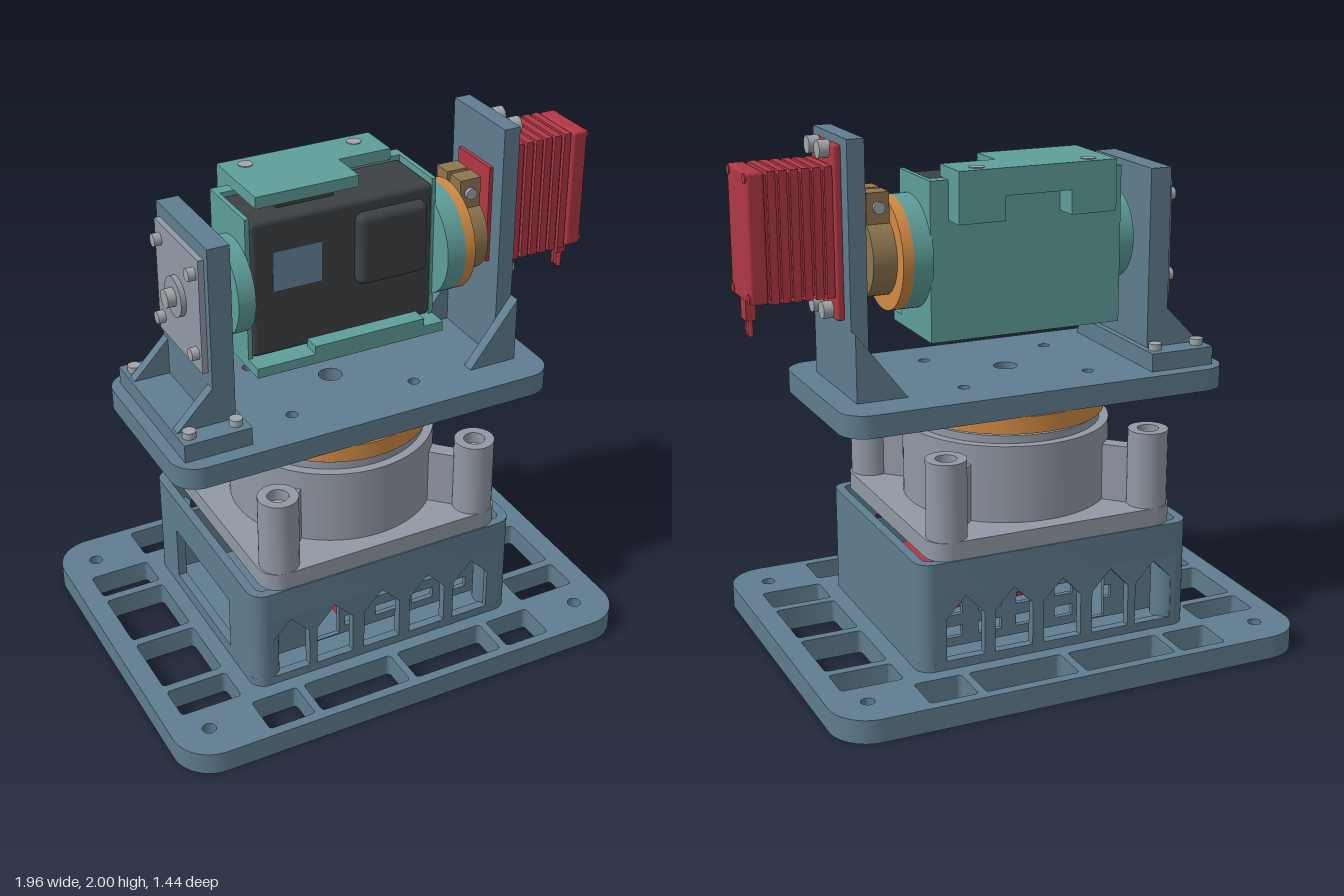
import * as THREE from 'three';
import { toCreasedNormals } from 'three/addons/utils/BufferGeometryUtils.js';
import { RoundedBoxGeometry } from 'three/addons/geometries/RoundedBoxGeometry.js';

const mat = (name, color) => Object.assign(new THREE.MeshStandardMaterial({ color }), { name });

export function createModel() {
  const root = new THREE.Group();
  const blue = mat('slate blue', 0x5f7d90), grey = mat('light grey', 0x9299a5), teal = mat('teal', 0x5f9f9a),
    red = mat('red', 0xb03744), orange = mat('orange', 0xd08a43), brown = mat('bronze', 0x8f7650),
    black = mat('charcoal', 0x3d4144), screen = mat('display blue', 0x64859d), steel = mat('steel', 0xa0a6ac);

  // ---- helpers ----
  let group = root;
  const part = (name) => { group = new THREE.Group(); group.name = name; root.add(group); };
  const add = (name, geo, m) => {
    const mesh = new THREE.Mesh(geo, m);
    mesh.name = name;
    group.add(mesh);
    return mesh;
  };
  const box = (name, m, x0, x1, y0, y1, z0, z1, r = 0) => {
    const s = [x1 - x0, y1 - y0, z1 - z0];
    const g = r ? new RoundedBoxGeometry(...s, 3, r) : new THREE.BoxGeometry(...s);
    return add(name, g.translate((x0 + x1) / 2, (y0 + y1) / 2, (z0 + z1) / 2), m);
  };
  // cylinder along x or y, from a to b on its axis
  const rodX = (name, m, a, b, r, y, z, n = 48) =>
    add(name, new THREE.CylinderGeometry(r, r, b - a, n).rotateZ(Math.PI / 2).translate((a + b) / 2, y, z), m);
  const rodY = (name, m, a, b, r, x, z, n = 48) =>
    add(name, new THREE.CylinderGeometry(r, r, b - a, n).translate(x, (a + b) / 2, z), m);
  const rect = (x0, x1, y0, y1, r = 0, P = THREE.Path) => {
    const p = new P();
    if (!r) return p.setFromPoints([[x0, y0], [x1, y0], [x1, y1], [x0, y1]].map((q) => new THREE.Vector2(...q)));
    p.absarc(x1 - r, y0 + r, r, -Math.PI / 2, 0).absarc(x1 - r, y1 - r, r, 0, Math.PI / 2);
    p.absarc(x0 + r, y1 - r, r, Math.PI / 2, Math.PI).absarc(x0 + r, y0 + r, r, Math.PI, Math.PI * 1.5);
    p.closePath();
    return p;
  };
  const poly = (pts, P = THREE.Shape) => new P().setFromPoints(pts.map((q) => new THREE.Vector2(...q)));
  const circle = (x, y, r, P = THREE.Path) => new P().absarc(x, y, r, 0, Math.PI * 2);
  const extrude = (shape, holes, depth) => {
    shape.holes.push(...holes);
    return toCreasedNormals(new THREE.ExtrudeGeometry(shape, { depth, bevelEnabled: false, curveSegments: 12 }), 0.6);
  };
  // slabs standing on y (shape drawn in x, -z), facing z (x, y) or facing x (-z, y)
  const slabY = (name, m, shape, y0, y1, holes = []) =>
    add(name, extrude(shape, holes, y1 - y0).rotateX(-Math.PI / 2).translate(0, y0, 0), m);
  const slabZ = (name, m, shape, z0, z1, holes = []) => add(name, extrude(shape, holes, z1 - z0).translate(0, 0, z0), m);
  const slabX = (name, m, shape, x0, x1, holes = []) =>
    add(name, extrude(shape, holes, x1 - x0).rotateY(Math.PI / 2).translate(x0, 0, 0), m);
  const S = THREE.Shape, CX = -0.045, AY = 1.55;

  // ---- base plate with framed cut-outs ----
  part('base');
  const cuts = [];
  for (const s of [-1, 1]) {
    for (const [a, b] of [[-0.645, -0.46], [-0.43, -0.06], [-0.03, 0.34], [0.37, 0.555]])
      cuts.push(rect(a, b, s > 0 ? 0.52 : -0.68, s > 0 ? 0.68 : -0.52, 0.015));
    for (const [a, b] of [[-0.465, -0.32], [-0.285, -0.015], [0.02, 0.295], [0.33, 0.465]])
      cuts.push(rect(s > 0 ? 0.57 : -0.9, s > 0 ? 0.81 : -0.66, a, b, 0.015));
    for (const x of [-0.84, 0.75]) cuts.push(circle(x, s * 0.575, 0.026));
  }
  slabY('basePlate', blue, rect(-0.98, 0.895, -0.718, 0.718, 0.15, S), 0, 0.09, cuts);

  // ---- hollow housing with gabled vents ----
  part('housing');
  for (const [y0, y1] of [[0.085, 0.12], [0.38, 0.51]])
    slabY('housingRim', blue, rect(-0.6, 0.505, -0.465, 0.465, 0.06, S), y0, y1, [rect(-0.565, 0.47, -0.43, 0.43, 0.03)]);
  for (const x of [-0.54, 0.445]) for (const z of [-0.405, 0.405]) rodY('cornerPost', blue, 0.12, 0.38, 0.06, x, z, 32);
  const vents = () => [-0.45, -0.266, -0.066, 0.132, 0.325].map((x) => poly(
    [[x - 0.076, 0.125], [x + 0.076, 0.125], [x + 0.076, 0.29], [x, 0.37], [x - 0.076, 0.29]], THREE.Path));
  const louvers = () => {
    const h = [rect(-0.3, -0.19, 0.125, 0.295), rect(-0.33, -0.3, 0.2, 0.25)];
    for (const [a, b] of [[-0.165, -0.09], [-0.03, 0.07], [0.13, 0.225], [0.29, 0.375]])
      for (const y of [0.155, 0.245]) h.push(rect(a, b, y, y + 0.045));
    return h;
  };
  for (const s of [-1, 1]) {
    const z = s > 0 ? 0.43 : -0.465, zi = s > 0 ? 0.33 : -0.35;
    slabZ('ventWall', blue, rect(-0.54, 0.445, 0.12, 0.38, 0, S), z, z + 0.035, vents());
    slabZ('louverPanel', blue, rect(-0.56, 0.46, 0.12, 0.38, 0, S), zi, zi + 0.02, louvers());
  }
  box('closedSide', blue, 0.47, 0.505, 0.12, 0.38, -0.405, 0.405);
  slabX('portSide', blue, rect(-0.405, 0.405, 0.12, 0.38, 0, S), -0.6, -0.565, [rect(-0.24, 0.26, 0.14, 0.36)]);
  for (const y of [0.16, 0.25]) {
    box('lowerServo', red, -0.165, 0.3, y, y + 0.035, -0.12, 0.3);
    box('lowerServoFin', red, -0.155, 0.29, y + 0.01, y + 0.025, -0.14, 0.31);
  }
  box('lowerServoCore', red, -0.1, 0.25, 0.17, 0.28, -0.1, 0.1);

  // ---- bearing carrier ----
  part('bearing');
  slabY('bearingFlange', grey, rect(-0.54, 0.45, -0.46, 0.46, 0.08, S), 0.51, 0.58, [circle(CX, 0, 0.3)]);
  rodY('bearingDrum', grey, 0.51, 0.875, 0.395, CX, 0, 80);
  rodY('bearingRace', grey, 0.875, 0.905, 0.36, CX, 0, 80);
  rodY('bearingHub', grey, 0.9, 0.92, 0.14, CX, 0);
  rodY('turntable', orange, 0.915, 0.98, 0.375, CX, 0, 80);
  for (const sx of [-1, 1]) for (const sz of [-1, 1]) {
    const x = CX + sx * 0.41, z = sz * 0.385;
    slabY('mountingPost', grey, circle(x, -z, 0.076, S), 0.57, 0.875, [circle(x, -z, 0.04)]);
    rodY('postBolt', steel, 0.57, 0.83, 0.041, x, z, 24);
    const web = box('postWeb', grey, -0.07, 0.07, 0.57, 0.8, -0.03, 0.03);
    web.position.set(x - sx * 0.09, 0, z - sz * 0.09);
    web.rotation.y = sx * sz * -Math.PI / 4;
  }

  // ---- upper platform ----
  part('platform');
  const bolts = [circle(CX, 0, 0.045)];
  for (const x of [-0.3, 0.21]) for (const z of [-0.19, 0.19]) bolts.push(circle(x, z, 0.022));
  slabY('platformPlate', blue, rect(-0.815, 0.725, -0.365, 0.365, 0.1, S), 0.98, 1.065, bolts);

  // ---- idler bracket ----
  part('idlerBracket');
  box('bracketFoot', blue, -0.77, -0.51, 1.065, 1.135, -0.31, 0.305);
  box('bracketWall', blue, -0.62, -0.535, 1.135, 1.82, -0.22, 0.22);
  for (const z of [-0.22, 0.18])
    slabZ('bracketGusset', blue, poly([[-0.76, 1.135], [-0.62, 1.135], [-0.62, 1.28]]), z, z + 0.04);
  for (const x of [-0.73, -0.55]) for (const z of [-0.255, 0.255]) rodY('footScrew', steel, 1.135, 1.16, 0.025, x, z, 20);
  box('bearingCover', grey, -0.642, -0.62, 1.33, 1.77, -0.19, 0.19);
  rodX('coverBoss', grey, -0.662, -0.64, 0.075, AY, 0);
  rodX('axleNut', steel, -0.695, -0.66, 0.035, AY, 0, 24);
  for (const y of [1.395, 1.705]) for (const z of [-0.15, 0.15]) rodX('coverScrew', steel, -0.67, -0.64, 0.024, y, z, 20);

  // ---- drive bracket ----
  part('driveBracket');
  slabX('driveWall', blue, rect(-0.175, 0.175, 1.065, 2, 0, S), 0.57, 0.635);
  for (const z of [-0.22, 0.175])
    slabZ('driveGusset', blue, poly([[0.44, 1.065], [0.635, 1.065], [0.635, 1.32]]), z, z + 0.045);

  // ---- cradle around the tilting head ----
  part('cradle');
  rodX('idlerShaft', teal, -0.54, -0.48, 0.065, AY, 0);
  rodX('idlerDisc', teal, -0.49, -0.424, 0.178, AY, 0, 64);
  rodX('driveDisc', teal, 0.33, 0.405, 0.21, AY, 0, 64);
  box('cradleBack', teal, -0.425, 0.335, 1.245, 1.835, -0.19, -0.14);
  box('cradleBottom', teal, -0.425, 0.335, 1.245, 1.283, -0.19, 0.178);
  box('bottomLip', teal, -0.195, 0.255, 1.245, 1.315, 0.112, 0.178);
  for (const [a, b] of [[-0.425, -0.408], [0.318, 0.335]]) box('cradleEnd', teal, a, b, 1.25, 1.835, -0.16, 0.1);
  slabY('topFlap', teal, poly([[-0.355, -0.04], [0.052, -0.04], [0.052, 0.115], [0.265, 0.115], [0.265, 0.285], [-0.355, 0.285]]), 1.835, 1.88);
  box('flapBridge', teal, -0.355, 0.265, 1.78, 1.84, -0.285, -0.18);
  for (const [a, b] of [[-0.355, -0.175], [0.085, 0.265]]) box('flapBlock', teal, a, b, 1.69, 1.8, -0.285, -0.18);
  for (const x of [-0.265, 0.175]) rodY('flapScrew', steel, 1.87, 1.883, 0.028, x, -0.232, 24);

  // ---- tilting head ----
  part('head');
  box('headBody', black, -0.41, 0.32, 1.285, 1.818, -0.15, 0.108, 0.02);
  box('topButton', black, -0.27, -0.045, 1.8, 1.834, -0.1, 0.03);
  box('frontPanel', black, 0, 0.285, 1.49, 1.77, 0.07, 0.148, 0.03);
  box('display', screen, -0.325, -0.133, 1.538, 1.692, 0.105, 0.111);

  // ---- coupling ----
  part('coupling');
  rodX('couplingDisc', orange, 0.405, 0.446, 0.21, AY, 0, 64);
  rodX('clampHub', brown, 0.446, 0.536, 0.152, AY, 0, 56);
  for (const [a, b] of [[-0.085, -0.01], [0.01, 0.085]]) box('clampEar', brown, 0.448, 0.534, 1.66, 1.79, a, b);
  rodY('clampScrew', steel, -0.1, 0.1, 0.022, 0, 0, 20).rotation.x = Math.PI / 2;
  group.children.at(-1).position.set(0.49, 1.735, 0);
  rodX('servoShaft', red, 0.53, 0.575, 0.055, AY, 0, 32);

  // ---- finned servo ----
  part('servo');
  box('servoNose', red, 0.555, 0.575, 1.45, 1.83, -0.11, 0.11);
  box('servoFlange', red, 0.635, 0.665, 1.345, 1.975, -0.12, 0.12, 0.01);
  box('servoCore', red, 0.64, 0.93, 1.445, 1.885, -0.1, 0.1);
  for (let i = 0; i < 6; i++) {
    const x = 0.668 + i * 0.041;
    box('servoFin', red, x, x + 0.029, 1.432, 1.9, -0.115, 0.115);
  }
  box('servoCap', red, 0.912, 0.977, 1.432, 1.9, -0.115, 0.115, 0.012);
  for (const z of [-0.095, 0.095]) for (const y of [1.455, 1.878]) rodX('capScrew', red, 0.97, 0.98, 0.018, y, z, 20);
  for (const z of [-0.055, 0.055]) for (const y of [1.377, 1.953]) rodX('flangeScrew', steel, 0.66, 0.702, 0.032, y, z, 24);
  box('cableGrommet', red, 0.935, 0.972, 1.36, 1.44, -0.03, 0.03);
  for (const z of [-0.018, 0, 0.018]) rodY('wire', red, 1.3, 1.37, 0.0095, 0.953, z, 12);

  return root;
}
